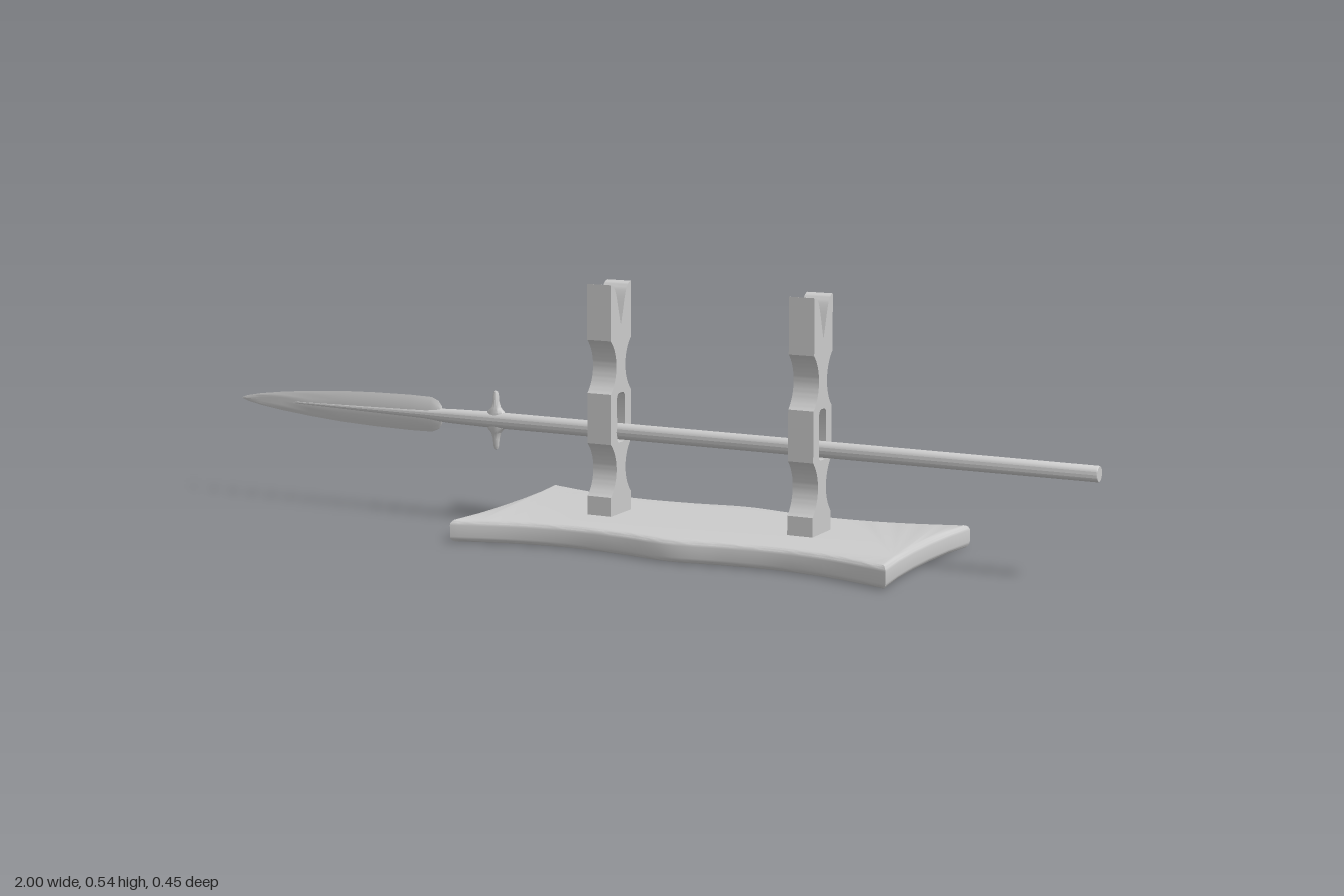
import * as THREE from 'three';
import { toCreasedNormals } from 'three/addons/utils/BufferGeometryUtils.js';

const material = new THREE.MeshStandardMaterial({ color: 0xcccccc });

function addMesh(parent, name, geometry, crease = 0.6) {
  const mesh = new THREE.Mesh(toCreasedNormals(geometry, crease), material);
  mesh.name = name;
  parent.add(mesh);
  return mesh;
}

// Tube along y through stations [y, half width in x, half depth in z], listed from the top down.
// A lens section has sharp edges at both ends of x.
function loft(stations, sides, lens = false) {
  const geometry = new THREE.CylinderGeometry(1, 1, 1, sides, stations.length - 1, true);
  const p = geometry.attributes.position;
  for (let i = 0; i < p.count; i++) {
    const [y, a, b] = stations[Math.floor(i / (sides + 1))];
    const z = p.getZ(i);
    p.setXYZ(i, p.getX(i) * a, y, z * b * (lens ? Math.abs(z) : 1));
  }
  return geometry;
}

// Wavy plinth with flared corners and rounded edges
function basePlate() {
  const side = [[-0.33, 0.225], [-0.2, 0.186], [-0.08, 0.17], [0.04, 0.177], [0.16, 0.194],
    [0.28, 0.177], [0.4, 0.17], [0.52, 0.186], [0.65, 0.225]];
  const near = side.map(([x, z]) => new THREE.Vector2(x, -z));
  const far = side.map(([x, z]) => new THREE.Vector2(x, z)).reverse();
  const shape = new THREE.Shape();
  shape.moveTo(-0.33, -0.225);
  shape.splineThru(near.slice(1));
  shape.quadraticCurveTo(0.62, 0, 0.65, 0.225);
  shape.splineThru(far.slice(1));
  shape.quadraticCurveTo(-0.3, 0, -0.33, -0.225);
  const bevel = 0.012;
  const geometry = new THREE.ExtrudeGeometry(shape, {
    depth: 0.048 - 2 * bevel, bevelThickness: bevel, bevelSize: bevel, bevelOffset: -bevel,
    bevelSegments: 4, curveSegments: 5,
  });
  return geometry.rotateX(-Math.PI / 2).translate(0, bevel, 0);
}

// Notched upright with two waists and a slot for the shaft
function postGeometry() {
  const w = 0.045, radius = 0.0752, cx = 0.095, reach = Math.asin(0.056 / radius);
  const shape = new THREE.Shape();
  shape.moveTo(-w, 0.04);
  shape.lineTo(w, 0.04);
  for (const y of [0.144, 0.362]) {
    shape.absarc(cx, y, radius, Math.PI + reach, Math.PI - reach, true);
  }
  shape.lineTo(w, 0.535);
  shape.bezierCurveTo(0.02, 0.535, 0.018, 0.5, 0, 0.447);
  shape.bezierCurveTo(-0.018, 0.5, -0.02, 0.535, -w, 0.535);
  for (const y of [0.362, 0.144]) {
    shape.absarc(-cx, y, radius, reach, -reach, true);
  }
  shape.lineTo(-w, 0.04);

  const hole = new THREE.Path();
  const hw = 0.0175, lo = 0.2, hi = 0.305, r = 0.011;
  hole.absarc(hw - r, hi - r, r, 0, Math.PI / 2);
  hole.absarc(-hw + r, hi - r, r, Math.PI / 2, Math.PI);
  hole.absarc(-hw + r, lo + r, r, Math.PI, Math.PI * 1.5);
  hole.absarc(hw - r, lo + r, r, Math.PI * 1.5, Math.PI * 2);
  hole.closePath();
  shape.holes.push(hole);

  const geometry = new THREE.ExtrudeGeometry(shape, { depth: 0.056, bevelEnabled: false, curveSegments: 12 });
  return geometry.translate(0, 0, -0.028).rotateY(Math.PI / 2);
}

function createSpear() {
  const spear = new THREE.Group();
  spear.name = 'spear';

  // Shaft, narrowing into the rib of the blade
  const shaft = [[1, 0], [1, 0.015], [0.997, 0.0165], [0.5, 0.0172], [-0.36, 0.0175], [-0.46, 0.0155],
    [-0.52, 0.0115], [-0.7, 0.008], [-0.85, 0.005], [-0.93, 0]].map(([x, r]) => [x, r, r]);
  addMesh(spear, 'shaft', loft(shaft, 16).rotateZ(-Math.PI / 2));

  // Leaf-shaped blade
  const blade = [[-0.475, 0, 0], [-0.48, 0.02, 0.005], [-0.488, 0.031, 0.007], [-0.505, 0.038, 0.008],
    [-0.56, 0.039, 0.008], [-0.65, 0.0375, 0.007], [-0.74, 0.034, 0.006], [-0.82, 0.028, 0.005],
    [-0.89, 0.021, 0.004], [-0.95, 0.013, 0.003], [-0.985, 0.006, 0.002], [-1, 0, 0]];
  addMesh(spear, 'blade', loft(blade, 16, true).rotateZ(-Math.PI / 2), 0.5);

  // Lugs flaring from the shaft, pointing up and down
  const half = [[0.064, 0, 0], [0.062, 0.005, 0.004], [0.056, 0.007, 0.006], [0.04, 0.008, 0.008],
    [0.027, 0.012, 0.01], [0.017, 0.022, 0.013]];
  const lugs = [...half, ...half.map(([y, a, b]) => [-y, a, b]).reverse()];
  addMesh(spear, 'lugs', loft(lugs, 12)).position.x = -0.345;

  spear.position.set(0, 0.223, 0.0025);
  spear.rotation.set(0, 0.0045, -0.002);
  return spear;
}

export function createModel() {
  const model = new THREE.Group();
  model.name = 'spearOnStand';
  addMesh(model, 'base', basePlate());
  const post = postGeometry();
  [['rightPost', -0.073], ['leftPost', 0.387]].forEach(([name, x]) => {
    addMesh(model, name, post).position.x = x;
  });
  model.add(createSpear());
  return model;
}
